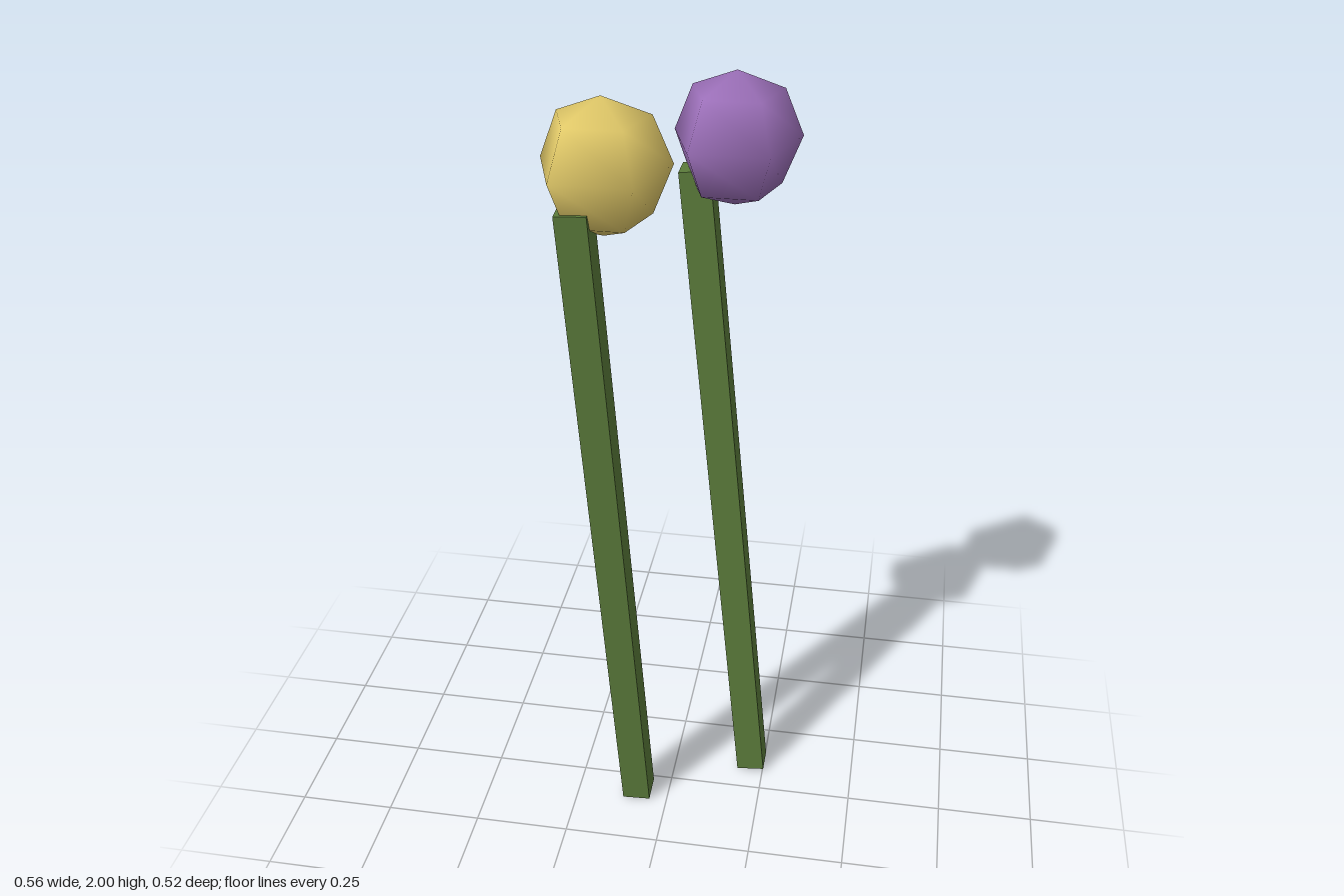
import * as THREE from 'three';

const stemGreen = new THREE.MeshStandardMaterial({ name: 'stemGreen', color: 0x5a7a3a });
const petalYellow = new THREE.MeshStandardMaterial({ name: 'petalYellow', color: 0xe0c868 });
const petalPurple = new THREE.MeshStandardMaterial({ name: 'petalPurple', color: 0x9b6fb8 });

const UP = new THREE.Vector3(0, 1, 0);

// Square stem running from a bottom point to a top point
function makeStem(bottom, top) {
  const a = new THREE.Vector3(...bottom);
  const b = new THREE.Vector3(...top);
  const dir = b.clone().sub(a);
  const stem = new THREE.Mesh(new THREE.BoxGeometry(0.074, dir.length(), 0.074), stemGreen);
  stem.position.addVectors(a, b).multiplyScalar(0.5);
  stem.quaternion.setFromUnitVectors(UP, dir.normalize());
  stem.name = 'stem';
  return stem;
}

// Five-sided smooth-shaded bloom with one corner pointing backwards
function makeBloom(center, material) {
  const bloom = new THREE.Mesh(new THREE.SphereGeometry(0.157, 5, 4, -Math.PI / 2), material);
  bloom.position.set(...center);
  bloom.name = 'bloom';
  return bloom;
}

function makeFlower(name, stemBottom, stemTop, center, material) {
  const flower = new THREE.Group();
  flower.name = name;
  flower.add(makeStem(stemBottom, stemTop), makeBloom(center, material));
  return flower;
}

export function createModel() {
  const model = new THREE.Group();
  model.name = 'flowerPair';
  model.add(
    makeFlower('yellowFlower', [-0.084, 0.005, 0.062], [-0.18, 1.771, 0.207], [-0.13, 1.843, 0.134], petalYellow),
    makeFlower('purpleFlower', [0.216, 0.008, -0.104], [0.04, 1.772, -0.104], [0.13, 1.843, -0.105], petalPurple)
  );
  return model;
}
